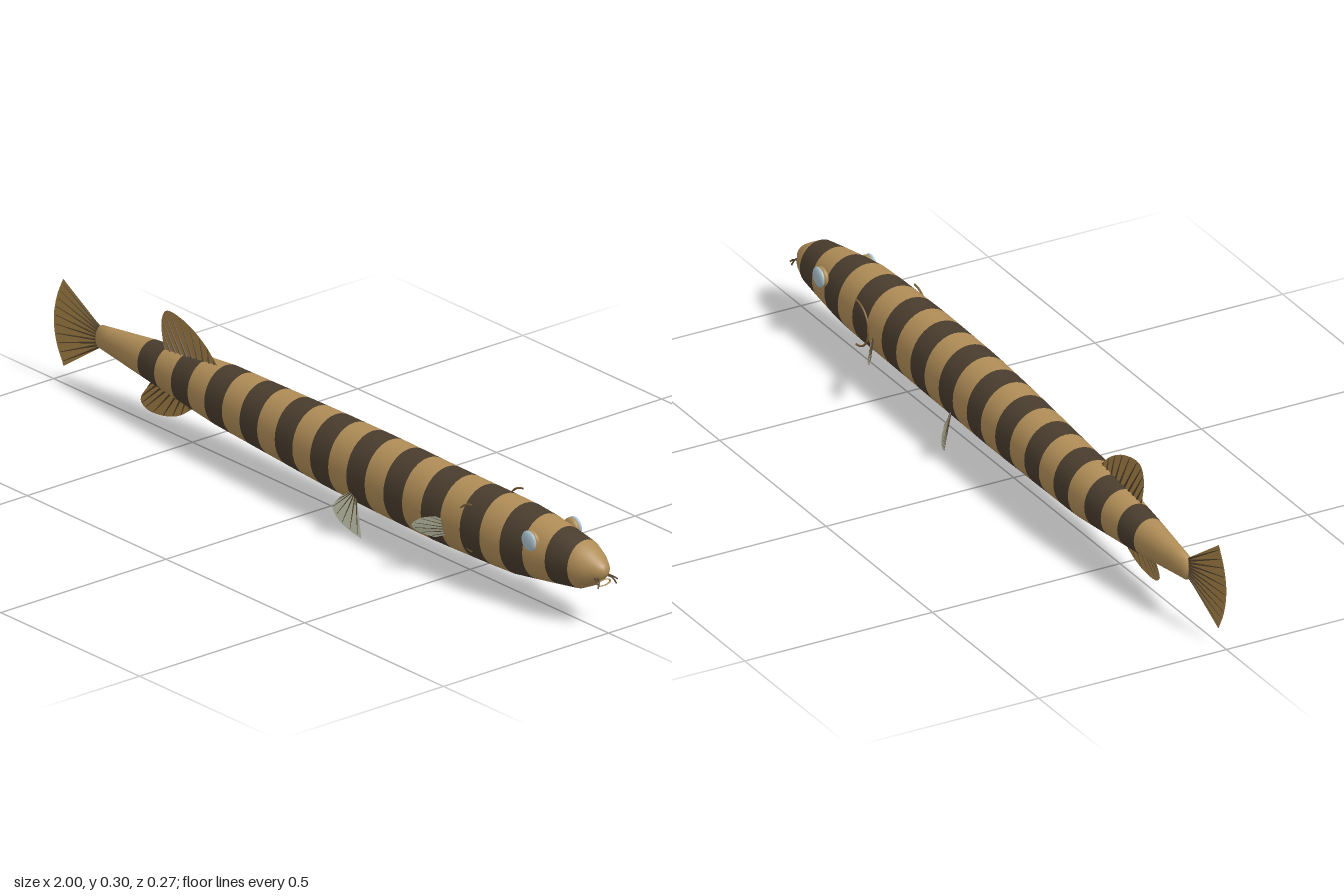
import * as THREE from 'three';

const mat = (name, color, side = THREE.FrontSide) => {
  const m = new THREE.MeshStandardMaterial({ color, side });
  m.name = name;
  return m;
};
const vec = (p) => new THREE.Vector3(...p);

// Body stations: x, top, bottom, right edge, left edge
const STATIONS = [
  [-0.85, 0.18, 0.122, -0.036, 0.0],
  [-0.67, 0.2, 0.103, -0.06, 0.024],
  [-0.4, 0.226, 0.076, -0.079, 0.053],
  [0, 0.239, 0.061, -0.077, 0.08],
  [0.2, 0.244, 0.057, -0.072, 0.089],
  [0.45, 0.243, 0.056, -0.067, 0.094],
  [0.7, 0.24, 0.061, -0.067, 0.089],
  [0.8, 0.23, 0.073, -0.062, 0.073],
  [0.917, 0.21, 0.09, -0.05, 0.056],
  [0.95, 0.191, 0.106, -0.04, 0.041],
  [0.975, 0.175, 0.125, -0.025, 0.025],
  [0.986, 0.167, 0.136, -0.015, 0.015],
];

function sectionAt(x) {
  let i = 0;
  while (i < STATIONS.length - 2 && x > STATIONS[i + 1][0]) i++;
  const a = STATIONS[i], b = STATIONS[i + 1];
  const t = (x - a[0]) / (b[0] - a[0]);
  return a.map((v, k) => v + (b[k] - v) * t);
}

// Tube of elliptical rings, alternating plain and dark bands
function makeBody(plain, dark) {
  const SIDES = 32, STEP = 0.069, START = -0.67;
  const xs = [-0.85];
  for (let k = -2; k <= 23; k++) xs.push(START + STEP * k);
  xs.push(0.95, 0.975, 0.986);
  const pos = [], index = [];
  const geo = new THREE.BufferGeometry();
  for (const x of xs) {
    const [, top, bottom, right, left] = sectionAt(x);
    for (let j = 0; j < SIDES; j++) {
      const a = (j / SIDES) * Math.PI * 2;
      pos.push(x, (top + bottom) / 2 + Math.cos(a) * (top - bottom) / 2,
        (left + right) / 2 + Math.sin(a) * (left - right) / 2);
    }
  }
  const tail = pos.length / 3, nose = tail + 1;
  pos.push(-0.852, 0.151, -0.018, 0.99, 0.151, 0);
  for (let i = 0; i < xs.length - 1; i++) {
    const k = i - 3; // first dark band starts on the fourth ring
    geo.addGroup(index.length, SIDES * 6, k >= 0 && k <= 22 && k % 2 === 0 ? 1 : 0);
    for (let j = 0; j < SIDES; j++) {
      const n = (j + 1) % SIDES;
      const a = i * SIDES + j, b = i * SIDES + n, c = a + SIDES, d = b + SIDES;
      index.push(a, b, c, b, d, c);
    }
  }
  // Tail and nose caps
  geo.addGroup(index.length, SIDES * 6, 0);
  const last = (xs.length - 1) * SIDES;
  for (let j = 0; j < SIDES; j++) {
    const n = (j + 1) % SIDES;
    index.push(tail, n, j, nose, last + j, last + n);
  }
  geo.setAttribute('position', new THREE.Float32BufferAttribute(pos, 3));
  geo.setIndex(index);
  geo.computeVertexNormals();
  const body = new THREE.Mesh(geo, [plain, dark]);
  body.name = 'bandedBody';
  return body;
}

// Membrane between a base line and an outer curve, with tapered rays
function makeFin(name, base, outer, rays, skin, rayMat, thick) {
  const fin = new THREE.Group();
  fin.name = name;
  const inner = new THREE.LineCurve3(vec(base[0]), vec(base[1]));
  const edge = new THREE.CatmullRomCurve3(outer.map(vec));
  const N = 24, pos = [], index = [];
  for (let i = 0; i <= N; i++) {
    pos.push(...inner.getPoint(i / N).toArray(), ...edge.getPoint(i / N).toArray());
    if (i < N) index.push(2 * i, 2 * i + 1, 2 * i + 2, 2 * i + 2, 2 * i + 1, 2 * i + 3);
  }
  const geo = new THREE.BufferGeometry();
  geo.setAttribute('position', new THREE.Float32BufferAttribute(pos, 3));
  geo.setIndex(index);
  geo.computeVertexNormals();
  const web = new THREE.Mesh(geo, skin);
  web.name = name + 'Membrane';
  fin.add(web);
  for (let i = 0; i < rays; i++) {
    const t = (i + 0.5) / rays;
    const a = inner.getPoint(t), b = edge.getPoint(t).lerp(a, 0.04);
    const dir = b.clone().sub(a);
    const ray = new THREE.Mesh(new THREE.CylinderGeometry(thick * 0.3, thick, dir.length(), 6), rayMat);
    ray.position.copy(a).lerp(b, 0.5);
    ray.quaternion.setFromUnitVectors(new THREE.Vector3(0, 1, 0), dir.normalize());
    ray.name = name + 'Ray';
    fin.add(ray);
  }
  return fin;
}

export function createModel() {
  const group = new THREE.Group();
  group.name = 'bandedFish';
  const tan = mat('tanSkin', 0xb08d57);
  const dark = mat('darkBand', 0x4a3d2e);
  const finTan = mat('finTan', 0xa98548, THREE.DoubleSide);
  const finPale = mat('finPale', 0xa3a692, THREE.DoubleSide);
  const rayBrown = mat('rayBrown', 0x54432c);
  const gillBrown = mat('gillBrown', 0x7d6037);
  const eyeBlue = mat('eyeBlue', 0xacc3cf);
  const add = (name, geo, material, x, y, z) => {
    const m = new THREE.Mesh(geo, material);
    m.name = name;
    m.position.set(x, y, z);
    group.add(m);
    return m;
  };

  group.add(makeBody(tan, dark));

  // Fins on the centre line
  group.add(makeFin('tailFin', [[-0.845, 0.175, -0.015], [-0.845, 0.127, -0.015]],
    [[-0.97, 0.262, -0.003], [-0.991, 0.21, -0.001], [-1, 0.153, 0], [-0.991, 0.095, -0.001], [-0.968, 0.043, -0.003]],
    10, finTan, rayBrown, 0.003));
  group.add(makeFin('dorsalFin', [[-0.41, 0.215, 0], [-0.6, 0.19, 0]],
    [[-0.41, 0.222, 0], [-0.46, 0.264, 0], [-0.53, 0.297, 0], [-0.595, 0.302, 0], [-0.612, 0.27, 0], [-0.602, 0.2, 0]],
    10, finTan, rayBrown, 0.0035));
  group.add(makeFin('analFin', [[-0.5, 0.095, 0], [-0.645, 0.115, 0]],
    [[-0.5, 0.085, 0], [-0.55, 0.052, 0], [-0.61, 0.034, 0], [-0.67, 0.034, 0], [-0.687, 0.05, 0], [-0.65, 0.105, 0]],
    9, finTan, rayBrown, 0.003));

  // Paired parts
  for (const s of [1, -1]) {
    const side = s > 0 ? 'left' : 'right';
    group.add(makeFin(side + 'PectoralFin', [[0.545, 0.138, s * 0.066], [0.545, 0.13, s * 0.066]],
      [[0.495, 0.161, s * 0.1], [0.465, 0.152, s * 0.122], [0.45, 0.134, s * 0.135], [0.465, 0.117, s * 0.122], [0.495, 0.108, s * 0.1]],
      6, finPale, rayBrown, 0.0018));
    group.add(makeFin(side + 'PelvicFin', [[0.168, 0.115, s * 0.073], [0.173, 0.108, s * 0.07]],
      [[0.15, 0.1, s * 0.1], [0.14, 0.075, s * 0.113], [0.152, 0.045, s * 0.106], [0.174, 0.02, s * 0.09], [0.196, 0.002, s * 0.073]],
      6, finPale, rayBrown, 0.0018));
    add(side + 'EyeSocket', new THREE.SphereGeometry(1, 20, 14), tan, 0.795, 0.185, s * 0.06).scale.set(0.026, 0.025, 0.011);
    add(side + 'Eye', new THREE.SphereGeometry(1, 20, 14), eyeBlue, 0.795, 0.186, s * 0.069).scale.set(0.025, 0.025, 0.008);
    // Gill arc bulging toward the tail
    add(side + 'GillArc', new THREE.TorusGeometry(0.058, 0.0025, 6, 24, Math.PI), gillBrown, 0.603, 0.158, s * 0.078)
      .rotation.z = Math.PI / 2;
    // Barbels beside the mouth
    [[0.012, 0.028, 0.118], [0.02, 0.032, 0.128]].forEach(([z0, z1, y1]) => {
      const path = new THREE.CatmullRomCurve3([
        vec([0.972, 0.137, s * z0]), vec([0.99, 0.133, s * (z0 + z1) / 2]), vec([0.995, y1, s * z1])]);
      add(side + 'Barbel', new THREE.TubeGeometry(path, 8, 0.002, 6), rayBrown, 0, 0, 0);
    });
  }

  // Mouth ring
  const mouth = add('mouth', new THREE.TorusGeometry(0.018, 0.0022, 8, 24), tan, 0.984, 0.124, 0);
  mouth.rotation.y = Math.PI / 2;
  mouth.scale.y = 0.4;
  return group;
}
